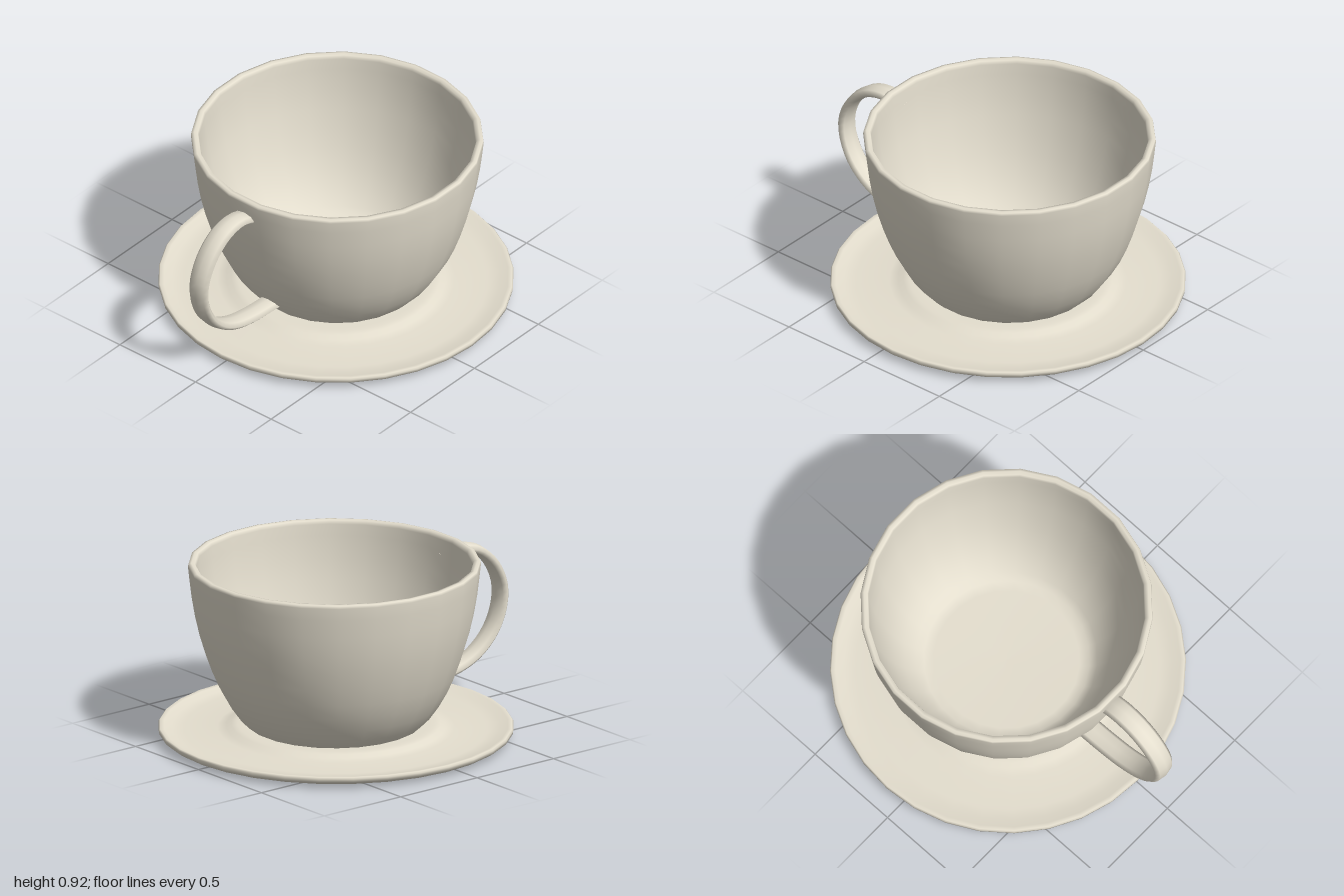
import * as THREE from 'three';

const ceramic = new THREE.MeshStandardMaterial({ color: 0xe4dece, roughness: 0.6 });

// Turned part from [radius, height] pairs, listed from the underside centre, round the outside, to the top centre
function turned(name, profile, sides, x, turn = 0) {
  const points = profile.map(([r, y]) => new THREE.Vector2(r, y));
  const mesh = new THREE.Mesh(new THREE.LatheGeometry(points, sides, turn), ceramic);
  mesh.name = name;
  mesh.position.x = x;
  return mesh;
}

export function createModel() {
  const group = new THREE.Group();
  group.name = 'cupAndSaucer';

  // Saucer: flat underside, bevelled edge, shallow dish and a raised centre
  group.add(turned('saucer', [
    [0, 0], [0.74, 0], [0.79, 0.004], [0.875, 0.019], [0.897, 0.034], [0.9, 0.052], [0.893, 0.06],
    [0.872, 0.058], [0.83, 0.046], [0.77, 0.04], [0.6, 0.044], [0.555, 0.053],
    [0.53, 0.066], [0.5, 0.07], [0.47, 0.07], [0, 0.07],
  ], 32, 0.1));

  // Cup: curved wall, narrow flat rim and hollow bowl
  group.add(turned('cup', [
    [0, 0.069], [0.43, 0.069], [0.448, 0.078], [0.49, 0.12], [0.54, 0.19], [0.585, 0.27], [0.62, 0.35],
    [0.652, 0.44], [0.682, 0.54], [0.705, 0.64], [0.722, 0.74], [0.734, 0.84], [0.741, 0.905], [0.738, 0.919],
    [0.724, 0.922], [0.706, 0.919], [0.7, 0.9], [0.698, 0.84],
    [0.684, 0.72], [0.665, 0.62], [0.64, 0.52], [0.61, 0.42], [0.57, 0.32], [0.52, 0.23],
    [0.46, 0.155], [0.42, 0.128], [0.37, 0.116], [0, 0.112],
  ], 24, 0.11, Math.PI / 24));

  // Handle: a flattened tube sweeping from below the rim to the base
  const path = new THREE.CatmullRomCurve3([
    [-0.59, 0.8], [-0.64, 0.823], [-0.71, 0.832], [-0.81, 0.806], [-0.91, 0.72], [-0.968, 0.6], [-0.968, 0.49],
    [-0.92, 0.37], [-0.83, 0.275], [-0.72, 0.217], [-0.58, 0.187], [-0.39, 0.174],
  ].map(([x, y]) => new THREE.Vector3(x, y, 0)));
  const tube = new THREE.TubeGeometry(path, 32, 0.027, 8, false);
  tube.scale(1, 1, 0.062 / 0.027);
  const handle = new THREE.Mesh(tube, ceramic);
  handle.name = 'handle';
  group.add(handle);

  return group;
}
